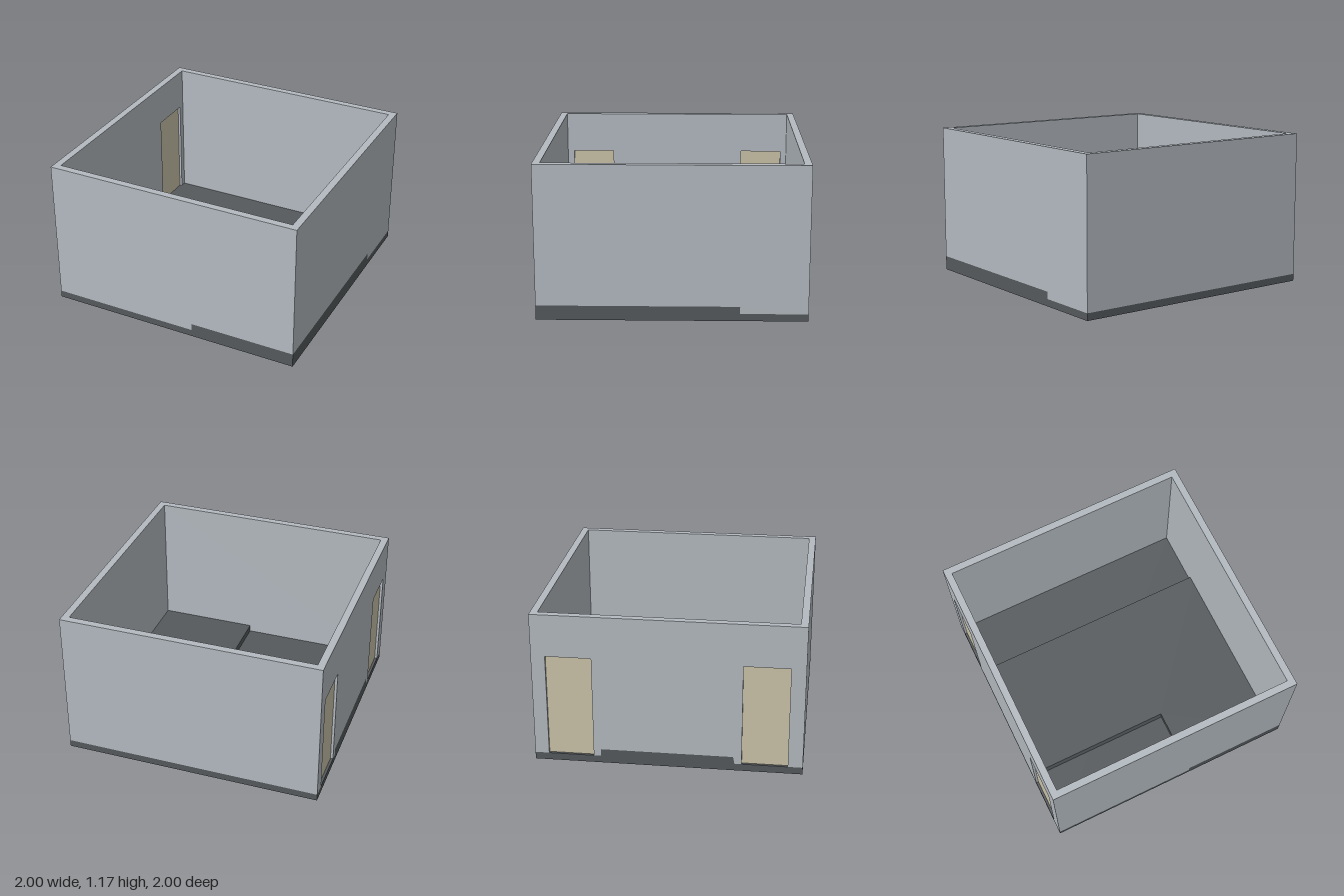
import * as THREE from 'three';

const T = 0.055;      // wall thickness
const LOW = 0.055;    // lower floor level
const HIGH = 0.11;    // raised floor level
const TOP = 1.17;     // top of the walls
const BACK = -0.5;    // z of the back step
const FRONT = 0.487;  // z of the front step
const FOOT = 0.498;   // foot of the slightly sloped front step
const SIDE = 0.165;   // x of the side step
const INNER = 1 - T;

const shapeOf = (points) => new THREE.Shape(points.map(([x, y]) => new THREE.Vector2(x, y)));
const extrude = (points, depth) =>
  new THREE.ExtrudeGeometry(shapeOf(points), { depth, bevelEnabled: false });

export function createModel() {
  const wallMat = new THREE.MeshStandardMaterial({ color: 0xb3bac0 });
  wallMat.name = 'wall grey';
  const floorMat = new THREE.MeshStandardMaterial({ color: 0x55595c });
  floorMat.name = 'floor dark grey';
  const doorMat = new THREE.MeshStandardMaterial({ color: 0xcbc3a9 });
  doorMat.name = 'door beige';

  const model = new THREE.Group();
  model.name = 'room';
  const add = (name, geometry, material) => {
    const mesh = new THREE.Mesh(geometry, material);
    mesh.name = name;
    model.add(mesh);
    return mesh;
  };

  // Base slab
  add('baseSlab', new THREE.BoxGeometry(2, LOW, 2).translate(0, LOW / 2, 0), floorMat);

  // Raised floor: full-width middle and front left quarter (plan drawn as x, -z)
  const plan = [[-1, -FRONT], [SIDE, -FRONT], [SIDE, -1], [1, -1], [1, -BACK], [-1, -BACK]];
  add('raisedFloor', extrude(plan, HIGH - LOW).rotateX(-Math.PI / 2).translate(0, LOW, 0), floorMat);

  // Sloped edge of the front step (profile drawn as z, y)
  const slope = extrude([[FRONT, LOW], [FOOT, LOW], [FRONT, HIGH]], SIDE + 1);
  add('stepEdge', slope.rotateY(-Math.PI / 2).translate(SIDE, 0, 0), floorMat);

  // Front and back walls fit between the side walls
  const frontWall = [[-INNER, LOW], [SIDE, LOW], [SIDE, HIGH], [INNER, HIGH], [INNER, TOP], [-INNER, TOP]];
  add('frontWall', extrude(frontWall, T).translate(0, 0, INNER), wallMat);
  const backWall = [[-INNER, LOW], [INNER, LOW], [INNER, TOP], [-INNER, TOP]];
  add('backWall', extrude(backWall, T).translate(0, 0, -1), wallMat);

  // Side walls follow the floor steps (outline drawn as z, y)
  const sideWall = (name, outline, x) =>
    add(name, extrude(outline, T).rotateY(-Math.PI / 2).translate(x, 0, 0), wallMat);
  sideWall('leftWall', [[-1, LOW], [BACK, LOW], [BACK, HIGH], [1, HIGH], [1, TOP], [-1, TOP]], 1);

  // Right wall with two doorways open down to the lower floor
  const doorTop = 0.845;
  const doors = [[-0.895, -0.555], [0.55, 0.89]];
  const doorway = ([a, b]) => [[a, LOW], [a, doorTop], [b, doorTop], [b, LOW]];
  sideWall('rightWall', [
    [-1, LOW], ...doorway(doors[0]), [BACK, LOW], [BACK, HIGH], [FRONT, HIGH], [FOOT, LOW],
    ...doorway(doors[1]), [1, LOW], [1, TOP], [-1, TOP],
  ], -INNER);

  // Door leaves set in the middle of the wall
  doors.forEach(([a, b], i) => {
    const leaf = new THREE.BoxGeometry(0.015, doorTop - LOW, b - a);
    leaf.translate(-1 + T / 2, (doorTop + LOW) / 2, (a + b) / 2);
    add(i ? 'frontDoor' : 'backDoor', leaf, doorMat);
  });

  return model;
}
